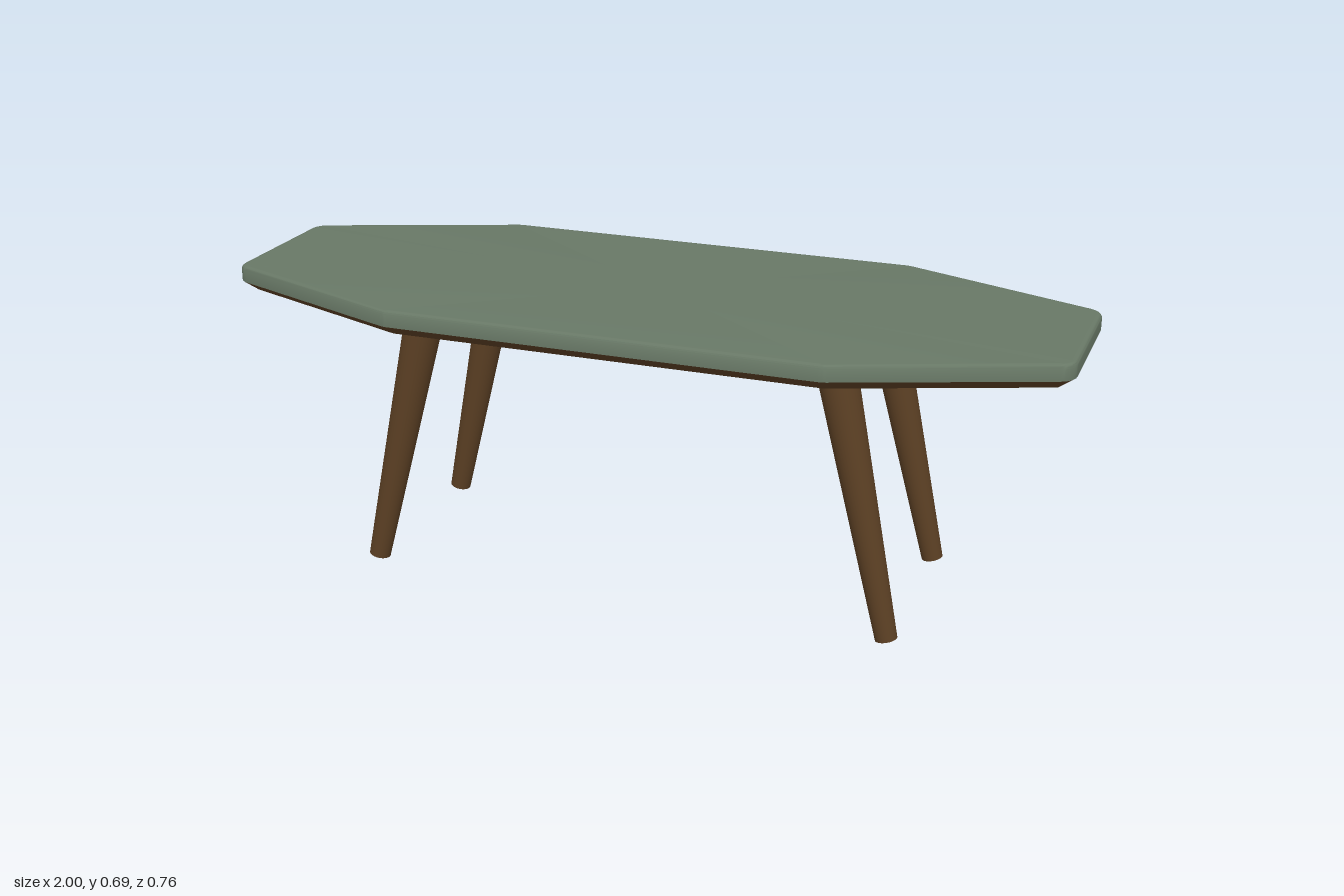
import * as THREE from 'three';
import { toCreasedNormals } from 'three/addons/utils/BufferGeometryUtils.js';

const CORNER = 0.045; // rounding radius of the octagon corners

// Rounded octagon as [core x, core z, normal x, normal z], so it can be inset evenly
function octagonOutline() {
  const slope = Math.atan2(0.49, 0.19);
  const nx = Math.cos(slope), nz = Math.sin(slope);
  const corners = [
    [1 - CORNER, 0.19 - CORNER * (1 - nx) / nz, 0, slope, 6],
    [0.51 - CORNER * (1 - nz) / nx, 0.38 - CORNER, slope, Math.PI / 2, 3],
  ];
  const quarter = [];
  for (const [x, z, a0, a1, steps] of corners) {
    for (let i = 0; i <= steps; i++) {
      const a = a0 + (a1 - a0) * i / steps;
      quarter.push([x, z, Math.cos(a), Math.sin(a)]);
    }
  }
  const mirror = (sx, sz) => quarter.map(([x, z, u, v]) => [x * sx, z * sz, u * sx, v * sz]);
  return [...quarter, ...mirror(-1, 1).reverse(), ...mirror(-1, -1), ...mirror(1, -1).reverse()];
}

// Skin over [inset, y] rings listed from bottom to top, closed at one end
function slab(rings, capTop) {
  const outline = octagonOutline(), n = outline.length;
  const pos = [], index = [];
  for (const [inset, y] of rings) {
    const r = CORNER - inset;
    for (const [x, z, u, v] of outline) pos.push(x + u * r, y, z + v * r);
  }
  const capRing = capTop ? rings.length - 1 : 0;
  pos.push(0, rings[capRing][1], 0);
  const centre = rings.length * n;
  for (let j = 0; j < n; j++) {
    const k = (j + 1) % n;
    for (let i = 0; i < rings.length - 1; i++) {
      const a = i * n + j, b = i * n + k;
      index.push(a, a + n, b, b, a + n, b + n);
    }
    const a = capRing * n + j, b = capRing * n + k;
    if (capTop) index.push(centre, b, a);
    else index.push(centre, a, b);
  }
  const geo = new THREE.BufferGeometry();
  geo.setAttribute('position', new THREE.Float32BufferAttribute(pos, 3));
  geo.setIndex(index);
  return toCreasedNormals(geo, 0.6);
}

export function createModel() {
  const green = new THREE.MeshStandardMaterial({ color: 0x687866 });
  green.name = 'sage green';
  const wood = new THREE.MeshStandardMaterial({ color: 0x5c4024 });
  wood.name = 'dark wood';

  const table = new THREE.Group();
  table.name = 'table';
  const add = (name, geo, mat) => {
    const mesh = new THREE.Mesh(geo, mat);
    mesh.name = name;
    table.add(mesh);
    return mesh;
  };

  // Green top with a softly rounded upper edge
  const topRings = [[0, 0.655]];
  for (let i = 0; i <= 4; i++) {
    const a = i / 4 * Math.PI / 2;
    topRings.push([0.01 * (1 - Math.cos(a)), 0.682 + 0.01 * Math.sin(a)]);
  }
  topRings.push([0.014, 0.692]);
  add('tableTop', slab(topRings, true), green);

  // Wooden underside with a chamfered rim
  add('underside', slab([[0.035, 0.629], [0, 0.655]], false), wood);

  // Four splayed, tapered legs
  const up = new THREE.Vector3(0, 1, 0);
  for (const [name, sx, sz] of [
    ['frontLeftLeg', 1, 1], ['frontRightLeg', -1, 1],
    ['backLeftLeg', 1, -1], ['backRightLeg', -1, -1],
  ]) {
    const foot = new THREE.Vector3(0.636 * sx, 0.006, 0.226 * sz);
    const head = new THREE.Vector3(0.491 * sx, 0.64, 0.208 * sz);
    const axis = head.clone().sub(foot);
    const leg = add(name, new THREE.CylinderGeometry(0.046, 0.0255, axis.length(), 32), wood);
    leg.position.copy(foot).add(head).multiplyScalar(0.5);
    leg.quaternion.setFromUnitVectors(up, axis.normalize());
  }
  return table;
}
